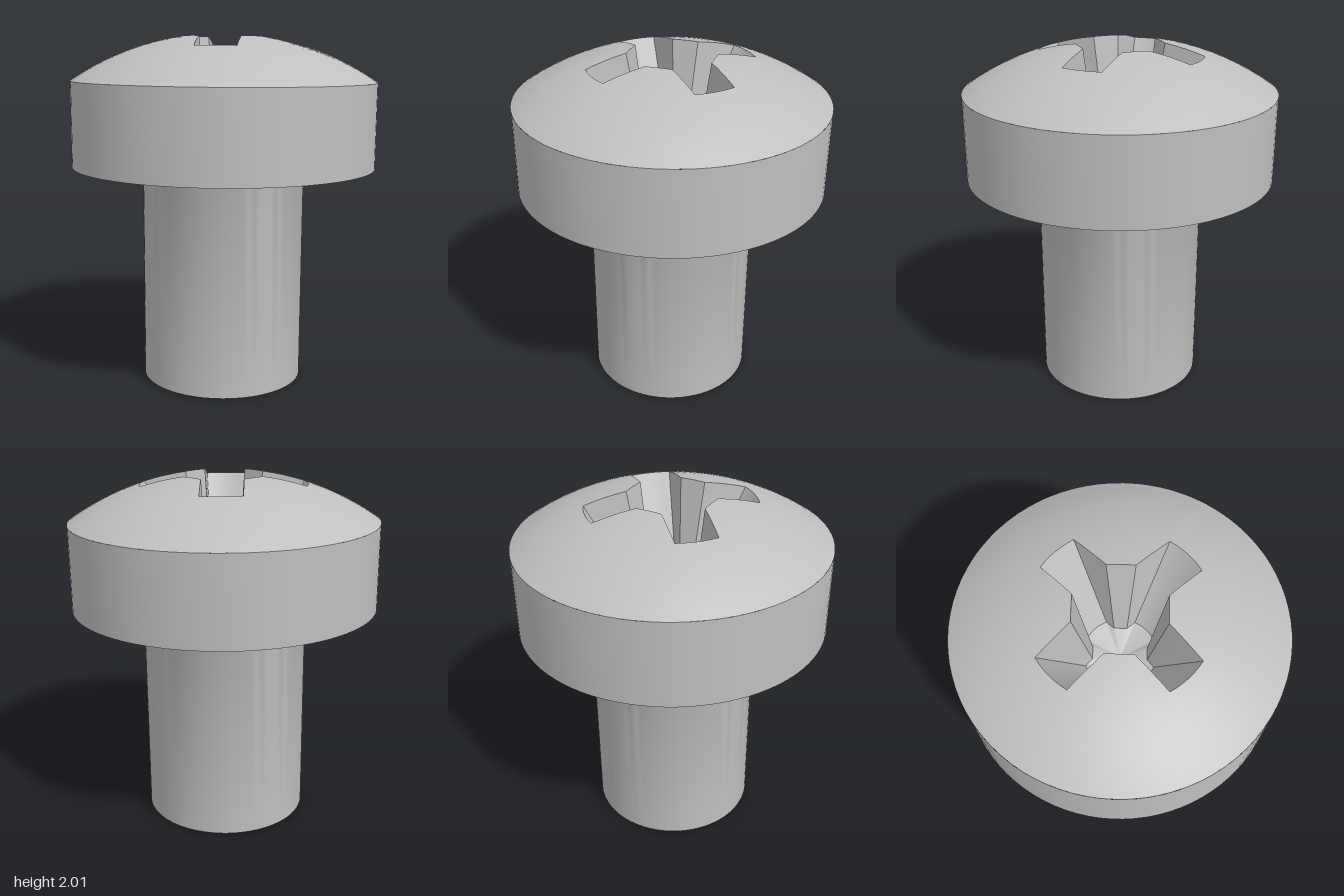
import * as THREE from 'three';
import { toCreasedNormals } from 'three/addons/utils/BufferGeometryUtils.js';

const HEAD_R = 0.877, DOME_R = 1.55, DOME_C = 0.468, FLOOR_Y = 1.43;
const ARM_ANGLE = THREE.MathUtils.degToRad(35);
const domeY = r => DOME_C + Math.sqrt(DOME_R * DOME_R - r * r);

// Cross outline: four arms with rounded tips and chamfered inner corners, as [x, z] pairs
function crossOutline(tipR, tipHalfWidth, cornerX, cornerZ) {
  const half = Math.asin(tipHalfWidth / tipR);
  const tip = s => [tipR * Math.cos(half), s * tipHalfWidth];
  const points = [];
  for (let arm = 0; arm < 4; arm++) {
    const a = ARM_ANGLE + arm * Math.PI / 2, c = Math.cos(a), s = Math.sin(a);
    const add = ([x, z]) => points.push([x * c - z * s, x * s + z * c]);
    const line = (p, q, n) => {
      for (let i = 0; i < n; i++) {
        add([p[0] + (q[0] - p[0]) * i / n, p[1] + (q[1] - p[1]) * i / n]);
      }
    };
    for (let i = 0; i < 6; i++) {
      const t = half * (i / 3 - 1);
      add([tipR * Math.cos(t), tipR * Math.sin(t)]);
    }
    line(tip(1), [cornerX, cornerZ], 4);
    line([cornerX, cornerZ], [cornerZ, cornerX], 8);
    line([cornerZ, cornerX], [tipHalfWidth, tip(1)[0]], 4);
  }
  return points;
}

// Joins closed rings, listed from the inside outwards, with faces turned upwards
function loft(rings) {
  const n = rings[0].length, index = [];
  for (let k = 0; k < rings.length - 1; k++) {
    for (let i = 0; i < n; i++) {
      const a = k * n + i, b = k * n + (i + 1) % n;
      index.push(a, b, a + n, b, b + n, a + n);
    }
  }
  const geometry = new THREE.BufferGeometry();
  geometry.setAttribute('position', new THREE.Float32BufferAttribute(rings.flat(2), 3));
  geometry.setIndex(index);
  geometry.computeVertexNormals();
  return geometry;
}

export function createModel() {
  const steel = new THREE.MeshStandardMaterial({ color: 0xbfbfbf });
  steel.name = 'steel grey';
  const screw = new THREE.Group();
  screw.name = 'screw';
  const add = (name, geometry) => {
    const mesh = new THREE.Mesh(geometry, steel);
    mesh.name = name;
    screw.add(mesh);
  };
  const lathe = points => toCreasedNormals(
    new THREE.LatheGeometry(points.map(p => new THREE.Vector2(...p)), 88), 0.6);

  // Shank with a small fillet under the head
  const shank = [[0, 0], [0.47, 0]];
  for (let i = 0; i <= 4; i++) {
    const t = i / 4 * Math.PI / 2;
    shank.push([0.49 - 0.02 * Math.cos(t), 1.24 + 0.02 * Math.sin(t)]);
  }
  add('shank', lathe(shank));

  // Underside and straight rim of the head
  add('headRim', lathe([[0.49, 1.26], [HEAD_R, 1.26], [HEAD_R, domeY(HEAD_R)]]));

  // Domed top, running from the cross opening out to the rim
  const opening = crossOutline(0.47, 0.113, 0.22, 0.115);
  const domeRings = [];
  for (let k = 0; k <= 10; k++) {
    domeRings.push(opening.map(([x, z]) => {
      const r0 = Math.hypot(x, z), r = r0 + (HEAD_R - r0) * k / 10;
      return [x / r0 * r, domeY(r), z / r0 * r];
    }));
  }
  add('headDome', loft(domeRings));

  // Tapering recess walls and shallow conical floor
  const floor = crossOutline(0.2, 0.075, 0.13, 0.08).map(([x, z]) => [x, FLOOR_Y, z]);
  add('recessWalls', toCreasedNormals(loft([floor, domeRings[0]]), 0.4));
  add('recessFloor', toCreasedNormals(
    loft([floor.map(() => [0, FLOOR_Y - 0.06, 0]), floor]), 0.4));

  // The whole screw leans very slightly to one side
  screw.rotation.z = -0.008;
  screw.position.set(-0.0135, 0.004, 0);
  const model = new THREE.Group();
  model.name = 'crossHeadScrew';
  model.add(screw);
  return model;
}
